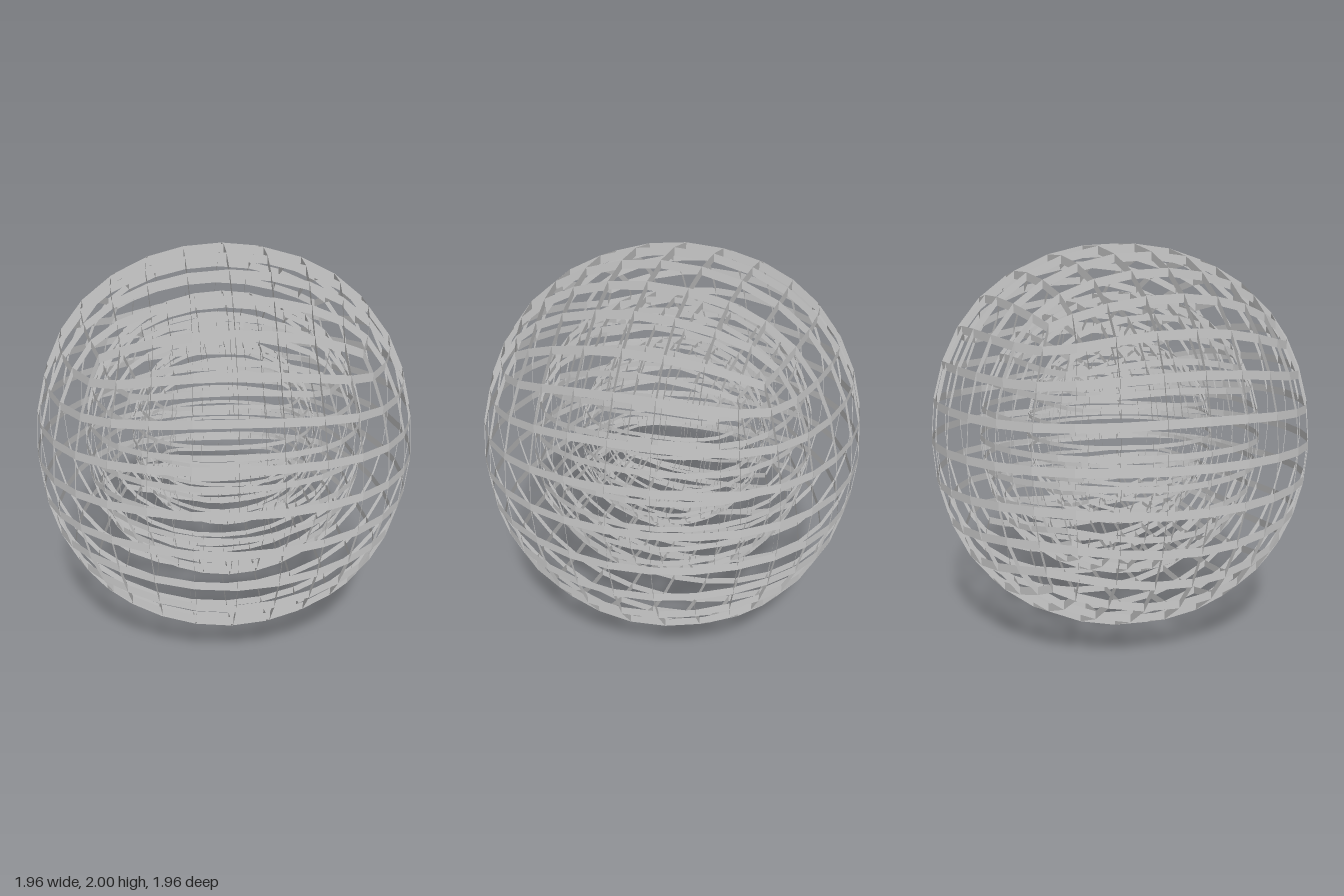
import * as THREE from 'three';

const sum = (list) => list.reduce((s, v) => s.add(v), new THREE.Vector3());
const mean = (list) => sum(list).divideScalar(list.length);

// Edges of a quad mesh, each with the faces that share it
function findEdges(quads) {
  const edges = new Map();
  quads.forEach((q, f) => q.forEach((a, i) => {
    const b = q[(i + 1) % 4];
    const key = Math.min(a, b) + '_' + Math.max(a, b);
    if (!edges.has(key)) edges.set(key, { a, b, faces: [] });
    edges.get(key).faces.push(f);
  }));
  return edges;
}

// One smooth (Catmull-Clark) subdivision step
function subdivide({ points, quads }) {
  const edges = findEdges(quads);
  const centres = quads.map((q) => mean(q.map((i) => points[i])));
  const around = points.map(() => ({ faces: [], mids: [] }));
  quads.forEach((q, f) => q.forEach((i) => around[i].faces.push(centres[f])));
  for (const e of edges.values()) {
    const mid = mean([points[e.a], points[e.b]]);
    around[e.a].mids.push(mid);
    around[e.b].mids.push(mid);
  }
  const out = points.map((p, i) => {
    const n = around[i].mids.length;
    return p.clone().multiplyScalar(n - 3)
      .add(mean(around[i].faces))
      .addScaledVector(mean(around[i].mids), 2)
      .divideScalar(n);
  });
  const firstCentre = out.length;
  out.push(...centres);
  for (const e of edges.values()) {
    e.index = out.length;
    out.push(mean([points[e.a], points[e.b], ...e.faces.map((f) => centres[f])]));
  }
  const edgeIndex = (a, b) => edges.get(Math.min(a, b) + '_' + Math.max(a, b)).index;
  const newQuads = [];
  quads.forEach((q, f) => q.forEach((v, i) => {
    newQuads.push([v, edgeIndex(v, q[(i + 1) % 4]), firstCentre + f, edgeIndex(q[(i + 3) % 4], v)]);
  }));
  return { points: out, quads: newQuads };
}

// Move every vertex onto the smooth limit surface
function toLimit({ points, quads }) {
  const near = points.map(() => []);
  const diagonal = points.map(() => []);
  for (const e of findEdges(quads).values()) {
    near[e.a].push(points[e.b]);
    near[e.b].push(points[e.a]);
  }
  quads.forEach((q) => q.forEach((v, i) => diagonal[v].push(points[q[(i + 2) % 4]])));
  const moved = points.map((p, i) => {
    const n = near[i].length;
    return p.clone().multiplyScalar(n * n)
      .addScaledVector(sum(near[i]), 4)
      .add(sum(diagonal[i]))
      .divideScalar(n * (n + 5));
  });
  return { points: moved, quads };
}

// Rounded cube with an 8 x 8 grid on each face, half-width 1
function roundedCube() {
  const points = [];
  for (let i = 0; i < 8; i++) {
    points.push(new THREE.Vector3(i & 1 ? 1 : -1, i & 2 ? 1 : -1, i & 4 ? 1 : -1));
  }
  let mesh = {
    points,
    quads: [[0, 2, 3, 1], [4, 5, 7, 6], [0, 1, 5, 4], [2, 6, 7, 3], [0, 4, 6, 2], [1, 3, 7, 5]],
  };
  for (let i = 0; i < 3; i++) mesh = subdivide(mesh);
  mesh = toLimit(mesh);
  const half = Math.max(...mesh.points.map((p) => p.x));
  mesh.points.forEach((p) => p.divideScalar(half));
  return mesh;
}

// Each grid edge becomes a thin upright ribbon hanging below the surface
function ribbonGeometry({ points, quads }, radius, height) {
  const pos = [];
  for (const { a, b } of findEdges(quads).values()) {
    const p = points[a].clone().multiplyScalar(radius);
    const q = points[b].clone().multiplyScalar(radius);
    pos.push(p.x, p.y, p.z, p.x, p.y - height, p.z, q.x, q.y - height, q.z);
    pos.push(p.x, p.y, p.z, q.x, q.y - height, q.z, q.x, q.y, q.z);
  }
  const geo = new THREE.BufferGeometry();
  geo.setAttribute('position', new THREE.Float32BufferAttribute(pos, 3));
  geo.computeVertexNormals();
  return geo;
}

export function createModel() {
  const group = new THREE.Group();
  group.name = 'nestedLatticeSpheres';
  const material = new THREE.MeshStandardMaterial({
    color: 0xcccccc, flatShading: true, side: THREE.DoubleSide,
  });
  const geometry = ribbonGeometry(roundedCube(), 0.98, 0.04);

  // Three nested shells sharing one centre
  [['outerLattice', 1], ['middleLattice', 0.75], ['innerLattice', 0.5]].forEach(([name, scale]) => {
    const shell = new THREE.Mesh(geometry, material);
    shell.name = name;
    shell.scale.setScalar(scale);
    shell.position.y = 1.02;
    group.add(shell);
  });
  return group;
}
